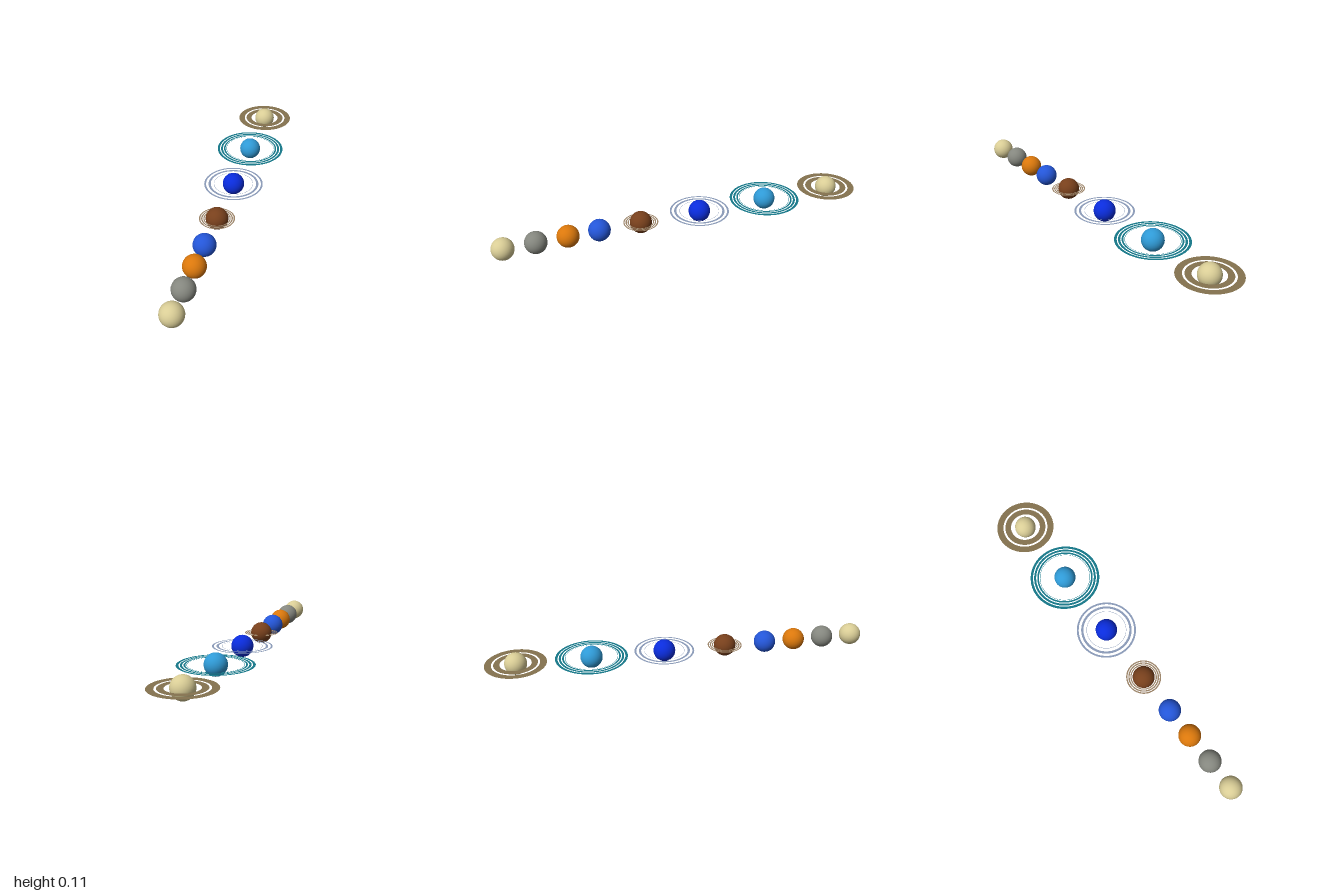
import * as THREE from 'three';

const RADIUS = 0.057;

// z position, colour, and flat rings as [inner, outer] radii
const PLANETS = [
  { name: 'firstPlanet', z: 0.943, color: 0xd9cd96 },
  { name: 'secondPlanet', z: 0.782, color: 0x85877f },
  { name: 'thirdPlanet', z: 0.621, color: 0xdb780c },
  { name: 'fourthPlanet', z: 0.46, color: 0x2456d8 },
  { name: 'fifthPlanet', z: 0.241, color: 0x78401c, ringColor: 0x9c8468,
    rings: [[0.062, 0.068], [0.072, 0.079], [0.083, 0.09]] },
  { name: 'sixthPlanet', z: -0.083, color: 0x0a2cdc, ringColor: 0x8c9cba,
    rings: [[0.103, 0.105], [0.121, 0.133], [0.146, 0.156]] },
  { name: 'seventhPlanet', z: -0.462, color: 0x2f9ad6, ringColor: 0x14788a,
    rings: [[0.134, 0.136], [0.141, 0.15], [0.156, 0.167], [0.173, 0.186]] },
  { name: 'eighthPlanet', z: -0.844, color: 0xd9cd96, ringColor: 0x85734f,
    rings: [[0.08, 0.111], [0.122, 0.156]] },
];

export function createModel() {
  const model = new THREE.Group();
  model.name = 'planetRow';
  const ballGeometry = new THREE.SphereGeometry(RADIUS, 32, 16);

  for (const { name, z, color, ringColor, rings = [] } of PLANETS) {
    const planet = new THREE.Group();
    planet.name = name;
    planet.position.set(0, RADIUS, z);

    // Globe
    const globe = new THREE.Mesh(ballGeometry, new THREE.MeshStandardMaterial({ color }));
    globe.name = 'globe';
    planet.add(globe);

    // Flat concentric rings around the equator
    const ringMaterial = new THREE.MeshStandardMaterial({ color: ringColor ?? color, side: THREE.DoubleSide });
    rings.forEach(([inner, outer], i) => {
      const ring = new THREE.Mesh(new THREE.RingGeometry(inner, outer, 64), ringMaterial);
      ring.name = `ring${i + 1}`;
      ring.rotation.x = -Math.PI / 2;
      planet.add(ring);
    });
    model.add(planet);
  }
  return model;
}
